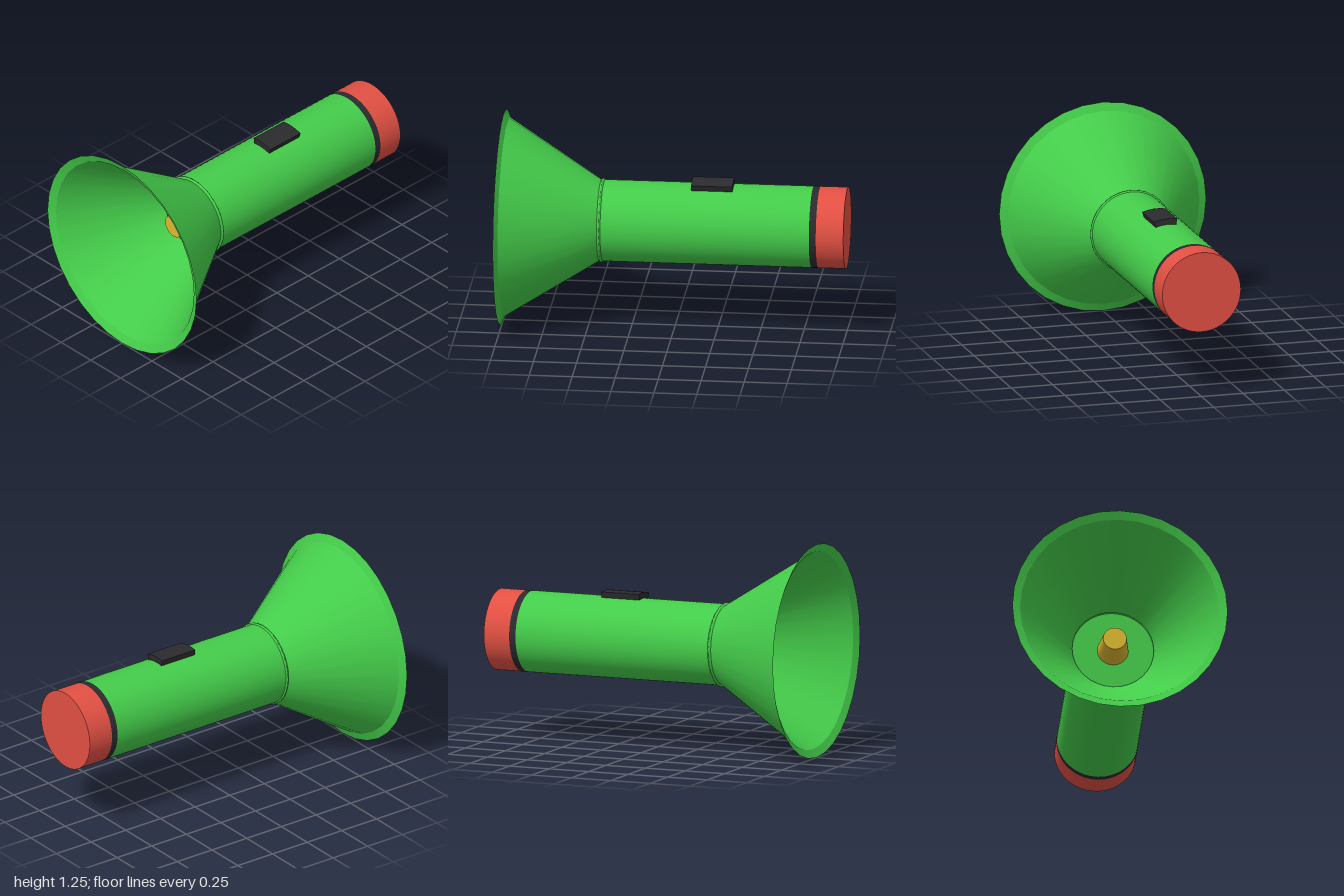
import * as THREE from 'three';

const AXIS_Y = 0.625;
const BODY_R = 0.237;

export function createModel() {
  const group = new THREE.Group();
  const mat = (name, color, side = THREE.FrontSide) => {
    const m = new THREE.MeshStandardMaterial({ color, side });
    m.name = name;
    return m;
  };
  const green = mat('green', 0x44cc4a, THREE.DoubleSide);
  const red = mat('red', 0xe25043);
  const black = mat('black', 0x2b2b2f);
  const gold = mat('gold', 0xdeb831);

  const add = (name, geometry, material) => {
    const mesh = new THREE.Mesh(geometry, material);
    mesh.name = name;
    mesh.position.y = AXIS_Y;
    group.add(mesh);
  };
  // Round section along z, from zBack to zFront
  const barrel = (name, rBack, rFront, zBack, zFront, material) => {
    const g = new THREE.CylinderGeometry(rFront, rBack, zFront - zBack, 64);
    g.rotateX(Math.PI / 2).translate(0, 0, (zBack + zFront) / 2);
    add(name, g, material);
  };
  // Open shell turned about z from [radius, z] points
  const shell = (name, points) => {
    const g = new THREE.LatheGeometry(points.map(([r, z]) => new THREE.Vector2(r, z)), 32);
    add(name, g.rotateX(Math.PI / 2), green);
  };

  // Handle
  barrel('body', BODY_R, BODY_R, -0.8, 0.42, green);
  barrel('band', BODY_R, BODY_R, -0.84, -0.8, black);
  barrel('endCap', BODY_R, BODY_R, -1, -0.84, red);

  // Flared horn with its lip and throat collar
  shell('horn', [[BODY_R, 0.435], [0.578, 0.977]]);
  shell('hornLip', [[0.578, 0.977], [0.625, 1]]);
  shell('throatCollar', [[BODY_R, 0.435], [0.246, 0.426], [0.246, 0.42], [BODY_R, 0.414]]);

  // Bulb in the throat
  barrel('bulb', 0.09, 0.068, 0.42, 0.59, gold);

  // Curved switch hugging the handle
  const a0 = -0.187, a1 = 0.34, steps = 4;
  const arc = (r) => Array.from({ length: steps + 1 }, (_, i) => {
    const a = a0 + (a1 - a0) * i / steps;
    return new THREE.Vector2(r * Math.sin(a), r * Math.cos(a));
  });
  const outline = new THREE.Shape([...arc(0.272), ...arc(0.225).reverse()]);
  const switchGeo = new THREE.ExtrudeGeometry(outline, { depth: 0.24, bevelEnabled: false });
  add('switch', switchGeo.translate(0, 0, -0.34), black);

  return group;
}
